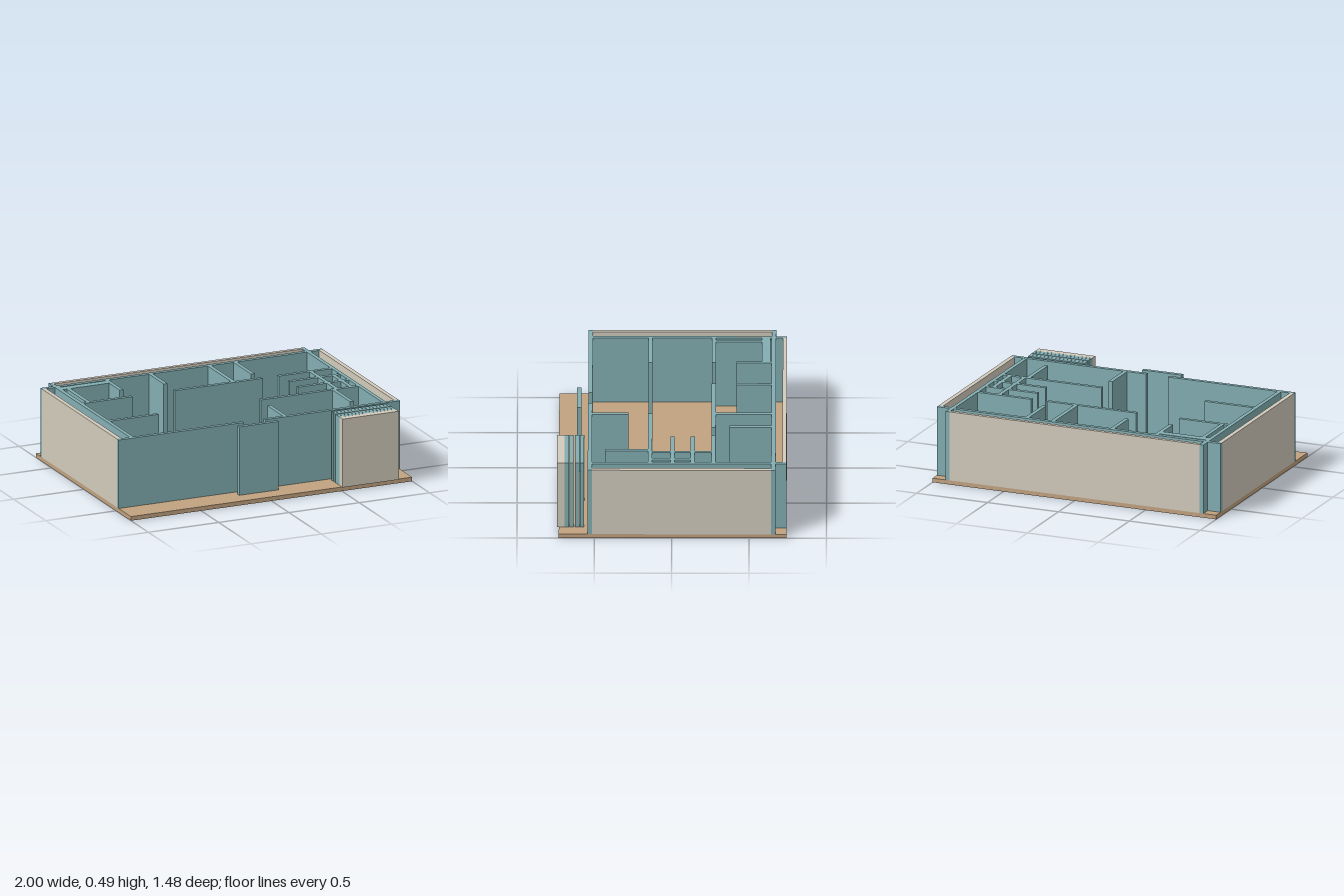
import * as THREE from 'three';

const FLOOR = 0.028, TOP = 0.492, T = 0.027;

const teal = new THREE.MeshStandardMaterial({ color: 0x83aeb2 });
const beige = new THREE.MeshStandardMaterial({ color: 0xd2cbbc });
const tan = new THREE.MeshStandardMaterial({ color: 0xc1a280 });

export function createModel() {
  const model = new THREE.Group();
  model.name = 'openHouse';

  // Box given by its plan rectangle and height range
  function block(parent, name, material, x0, x1, z0, z1, y0 = FLOOR, y1 = TOP) {
    const mesh = new THREE.Mesh(new THREE.BoxGeometry(x1 - x0, y1 - y0, z1 - z0), material);
    mesh.position.set((x0 + x1) / 2, (y0 + y1) / 2, (z0 + z1) / 2);
    mesh.name = name;
    parent.add(mesh);
  }
  function section(name) {
    const group = new THREE.Group();
    group.name = name;
    model.add(group);
    return group;
  }

  // Ground slab
  block(model, 'floorSlab', tan, -1, 1, -0.742, 0.73, 0, FLOOR);

  // Outer walls
  const outer = section('outerWalls');
  block(outer, 'backWall', teal, -1, 1, -0.672, -0.643);
  block(outer, 'frontWallRight', teal, -1, -0.11, 0.513, 0.541);
  block(outer, 'frontWallLeft', teal, 0.043, 1, 0.515, 0.543);
  for (const s of [-1, 1]) {
    const x = s * 0.896;
    block(outer, 'sideWall', teal, x - T / 2, x + T / 2, -0.643, 0.514);
    block(outer, 'backReturn', teal, x - T / 2, x + T / 2, -0.742, -0.672);
  }

  // Pale cladding screens on the sides and back
  const cladding = section('cladding');
  block(cladding, 'rightScreen', beige, -1, -0.97, -0.643, 0.513);
  block(cladding, 'leftScreen', beige, 0.97, 1, -0.643, 0.515);
  block(cladding, 'backScreen', beige, -0.8825, 0.8825, -0.742, -0.715);

  // Partitions running across: [x0, x1, z centre]
  const rooms = section('partitions');
  for (const [x0, x1, z] of [
    [-0.883, -0.537, -0.27], [-0.233, 0.393, -0.27], [0.505, 0.883, -0.27],
    [-0.883, -0.537, 0.14], [0.19, 0.883, 0.14],
    [0.52, 0.883, -0.135], [0.52, 0.883, -0.004],
  ]) block(rooms, 'crossPartition', teal, x0, x1, z - T / 2, z + T / 2);

  // Partitions running front to back: [x centre, z0, z1]
  for (const [x, z0, z1] of [
    [-0.84, -0.58, -0.283], [-0.54, -0.643, -0.416], [-0.227, -0.643, -0.416],
    [0.191, -0.643, -0.283], [0.374, -0.643, -0.372],
    [0.736, -0.257, 0.127], [0.837, -0.122, 0.127],
    [0.711, 0.153, 0.427], [0.191, 0.28, 0.515],
  ]) block(rooms, 'longPartition', teal, x - T / 2, x + T / 2, z0, z1);

  // Thick closet wall at the back
  block(rooms, 'closetWall', teal, -0.883, -0.553, -0.634, -0.58);

  // Free-standing screen before the entrance
  block(model, 'entranceScreen', teal, -0.176, 0.104, 0.586, 0.614);

  // Stacked panels at the front, closed by a pale panel
  const stack = section('panelStack');
  for (const z of [0.58, 0.611, 0.648, 0.679])
    block(stack, 'stackPanel', teal, 0.5, 0.9, z - 0.014, z + 0.014);
  block(stack, 'frontPanel', beige, 0.5, 0.9, 0.694, 0.742);

  return model;
}
